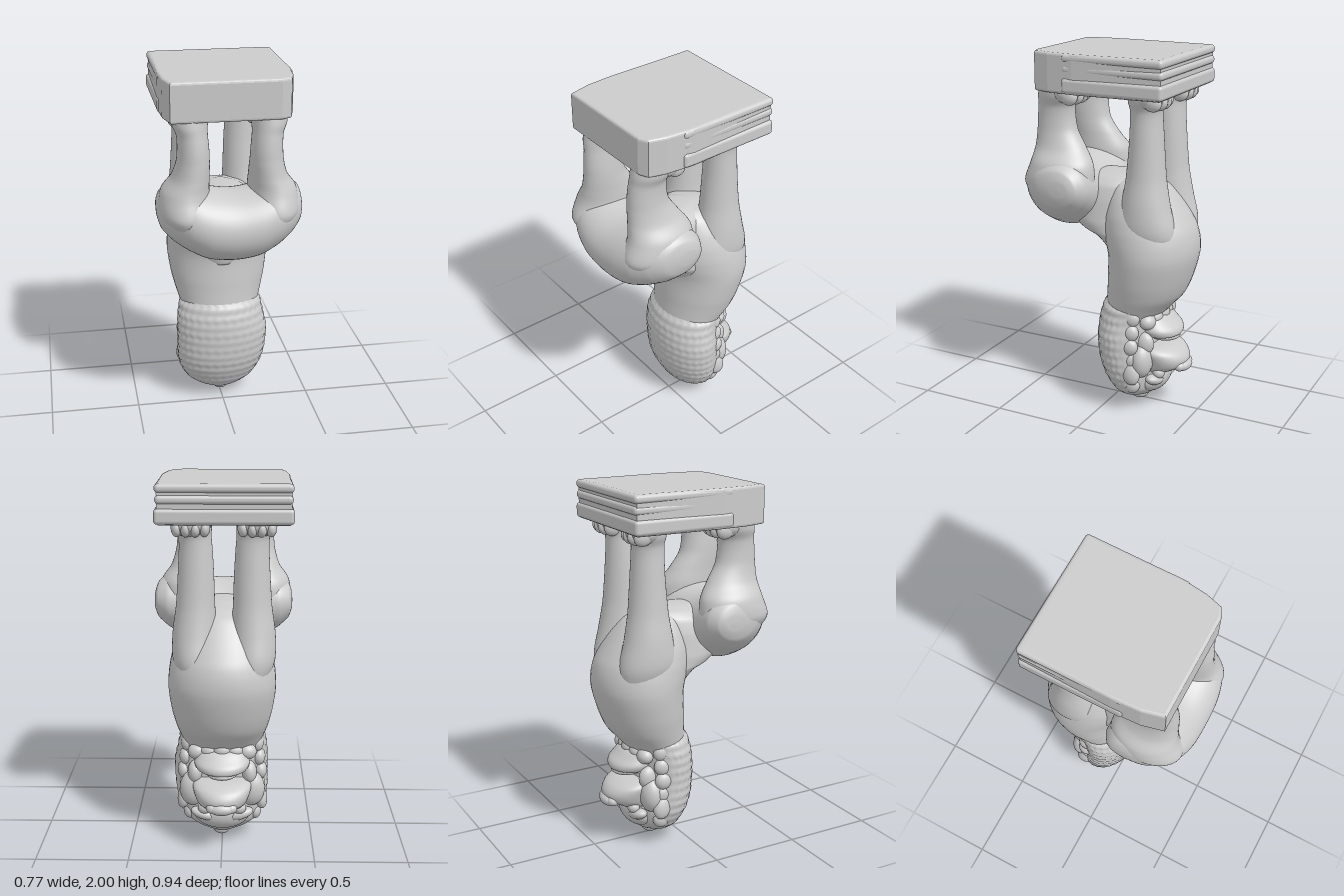
import * as THREE from 'three';
import { RoundedBoxGeometry } from 'three/addons/geometries/RoundedBoxGeometry.js';

const mat = new THREE.MeshStandardMaterial({ color: 0xcccccc });

function add(parent, name, geo, pos = [0, 0, 0], scale = [1, 1, 1], rot = [0, 0, 0]) {
  const m = new THREE.Mesh(geo, mat);
  m.name = name;
  m.position.set(...pos);
  m.scale.set(...scale);
  m.rotation.set(...rot);
  parent.add(m);
}

// Smooth closed body through elliptical sections [t, centreA, radiusA, minB, maxB].
// axis 'y': A = x, B = z.  axis 'x': A = y, B = z.  bump(a, t) scales the radii.
function loft(sections, axis = 'y', bump = () => 1, rings = 50, seg = 40) {
  const centre = new THREE.CatmullRomCurve3(
    sections.map(([t, c, , b0, b1]) => new THREE.Vector3(t, c, (b0 + b1) / 2)));
  const radius = new THREE.CatmullRomCurve3(
    sections.map(([, , r, b0, b1]) => new THREE.Vector3(r, (b1 - b0) / 2, 0)));
  const pos = [], idx = [];
  const put = (t, a, b) => (axis === 'y' ? pos.push(a, t, b) : pos.push(t, a, b));
  const face = (a, b, c) => (axis === 'y' ? idx.push(a, b, c) : idx.push(a, c, b));
  for (let i = 0; i <= rings; i++) {
    const c = centre.getPoint(i / rings), r = radius.getPoint(i / rings);
    for (let j = 0; j < seg; j++) {
      const a = (j / seg) * Math.PI * 2, k = bump(a, c.x);
      put(c.x, c.y + r.x * k * Math.cos(a), c.z + r.y * k * Math.sin(a));
    }
  }
  for (let i = 0; i < rings; i++) for (let j = 0; j < seg; j++) {
    const a = i * seg + j, b = i * seg + (j + 1) % seg;
    face(a, a + seg, b);
    face(b, a + seg, b + seg);
  }
  // end caps
  const first = centre.getPoint(0), last = centre.getPoint(1), n = pos.length / 3;
  put(first.x, first.y, first.z);
  put(last.x, last.y, last.z);
  for (let j = 0; j < seg; j++) {
    const k = (j + 1) % seg;
    face(n, j, k);
    face(n + 1, rings * seg + k, rings * seg + j);
  }
  const g = new THREE.BufferGeometry();
  g.setAttribute('position', new THREE.Float32BufferAttribute(pos, 3));
  g.setIndex(idx);
  g.computeVertexNormals();
  return g;
}

function makePlinth() {
  const g = new THREE.Group();
  g.name = 'plinth';
  const bevel = 0.014;
  const outline = [[-0.34, -0.38], [0.313, -0.38], [0.323, 0.1], [0.305, 0.25], [0.28, 0.335],
    [0.235, 0.356], [-0.315, 0.356], [-0.34, 0.25], [-0.348, 0.1]];
  const slab = new THREE.ExtrudeGeometry(new THREE.Shape(outline.map(p => new THREE.Vector2(...p))),
    { depth: 0.21 - 2 * bevel, bevelThickness: bevel, bevelSize: bevel, bevelSegments: 3 });
  slab.rotateX(Math.PI / 2);
  add(g, 'plinthSlab', slab, [0, 2 - bevel, 0]);
  // stacked mouldings around the rear part
  for (const [y, h, w] of [[1.835, 0.08, 0.71], [1.92, 0.045, 0.695], [1.977, 0.045, 0.7]])
    add(g, 'plinthMoulding', new RoundedBoxGeometry(w, h, 0.57, 4, 0.02), [-0.012, y, -0.122]);
  return g;
}

function makeLegs(s) {
  const g = new THREE.Group();
  g.name = s > 0 ? 'leftLegs' : 'rightLegs';
  g.position.x = -0.01;
  const ball = new THREE.SphereGeometry(1, 20, 14);
  add(g, 'hindLeg', loft([
    [1.2, s * 0.23, 0.08, 0.1, 0.4], [1.3, s * 0.235, 0.135, 0.04, 0.445],
    [1.4, s * 0.23, 0.128, 0.05, 0.41], [1.48, s * 0.205, 0.1, 0.1, 0.395],
    [1.58, s * 0.192, 0.085, 0.16, 0.388], [1.7, s * 0.195, 0.08, 0.17, 0.378],
    [1.76, s * 0.205, 0.092, 0.14, 0.372], [1.82, s * 0.205, 0.1, 0.12, 0.36]]));
  // foreleg tapers away inside the shoulder
  add(g, 'frontLeg', loft([
    [0.84, s * 0.14, 0.03, -0.29, -0.23], [0.95, s * 0.145, 0.09, -0.385, -0.13],
    [1.07, s * 0.155, 0.12, -0.4, -0.08], [1.2, s * 0.155, 0.118, -0.37, -0.1],
    [1.35, s * 0.15, 0.103, -0.343, -0.125], [1.55, s * 0.147, 0.093, -0.327, -0.142],
    [1.7, s * 0.15, 0.086, -0.32, -0.147], [1.76, s * 0.16, 0.097, -0.335, -0.14],
    [1.82, s * 0.165, 0.1, -0.345, -0.14]]));
  // paws with toes pointing to the back of the plinth
  for (const [name, x, z] of [['hind', 0.205, 0.14], ['front', 0.17, -0.325]]) {
    add(g, name + 'Paw', ball, [s * x, 1.785, z + 0.05], [0.105, 0.07, 0.09]);
    for (let i = -1.5; i <= 1.5; i++)
      add(g, name + 'Toe', ball, [s * x + i * 0.048, 1.768, z + 0.012 * Math.abs(i)],
        [0.029, 0.046, 0.052], [-0.3, 0, 0]);
  }
  return g;
}

function makeHead() {
  const g = new THREE.Group();
  g.name = 'head';
  const ball = new THREE.SphereGeometry(1, 24, 16);
  // mane with rows of small curls, smooth on the face side
  const curls = (a, y) => 1 + 0.008 * Math.max(0, Math.min(1, Math.sin(a) * 2 + 1)) *
    (Math.sin(y * 130) + 0.8 * Math.sin(a * 30 + Math.sin(y * 65)));
  add(g, 'mane', loft([
    [0.035, 0, 0.02, -0.16, -0.11], [0.05, 0, 0.08, -0.21, -0.06], [0.075, 0, 0.145, -0.235, -0.03],
    [0.12, 0, 0.2, -0.27, 0.005], [0.2, 0, 0.24, -0.28, 0.045], [0.29, 0.004, 0.256, -0.27, 0.07],
    [0.42, 0.008, 0.26, -0.26, 0.08], [0.53, 0, 0.248, -0.27, 0.073], [0.6, 0, 0.234, -0.29, 0.055],
    [0.64, 0, 0.2, -0.27, 0.03]], 'y', curls, 110, 150));
  add(g, 'topKnot', ball, [0.005, 0.042, -0.14], [0.05, 0.04, 0.055]);
  // open jaws, upside down: chin above, nose below
  add(g, 'upperJaw', loft([
    [0.19, 0, 0.07, -0.3, -0.16], [0.23, 0, 0.115, -0.37, -0.15], [0.265, 0, 0.135, -0.425, -0.15],
    [0.305, 0, 0.15, -0.432, -0.15], [0.345, 0, 0.16, -0.405, -0.15], [0.375, 0, 0.145, -0.345, -0.15],
    [0.385, 0, 0.09, -0.27, -0.15]]));
  add(g, 'nose', ball, [0, 0.262, -0.41], [0.07, 0.034, 0.042]);
  add(g, 'tongue', ball, [0, 0.425, -0.29], [0.085, 0.03, 0.09]);
  add(g, 'lowerJaw', loft([
    [0.425, 0, 0.09, -0.36, -0.15], [0.445, 0, 0.135, -0.39, -0.15], [0.475, 0, 0.15, -0.385, -0.15],
    [0.51, 0, 0.145, -0.35, -0.15], [0.545, 0, 0.13, -0.31, -0.15], [0.56, 0, 0.08, -0.26, -0.15]]));
  add(g, 'forehead', ball, [0, 0.165, -0.235], [0.15, 0.09, 0.08], [-0.5, 0, 0]);
  for (let i = -2; i <= 2; i++)
    add(g, 'beardCurl', ball, [i * 0.068, 0.55 - 0.008 * Math.abs(i), -0.27 + 0.012 * Math.abs(i)],
      [0.052, 0.045, 0.045]);
  for (const s of [-1, 1]) {
    add(g, 'nostril', ball, [s * 0.05, 0.265, -0.405], [0.034, 0.028, 0.032]);
    add(g, 'mouthCorner', ball, [s * 0.15, 0.41, -0.235], [0.04, 0.065, 0.055]);
    add(g, 'eye', ball, [s * 0.095, 0.225, -0.3], [0.038, 0.034, 0.034]);
    add(g, 'brow', ball, [s * 0.1, 0.18, -0.275], [0.075, 0.032, 0.045], [0, 0, s * 0.3]);
    add(g, 'cheek', ball, [s * 0.16, 0.31, -0.225], [0.075, 0.1, 0.06]);
    add(g, 'ear', ball, [s * 0.21, 0.25, -0.18], [0.038, 0.075, 0.055], [0.3, 0, s * 0.2]);
    // larger curls framing the face
    for (let i = 0; i < 6; i++)
      add(g, 'sideCurl', ball, [s * (0.212 - 0.01 * Math.abs(i - 3)), 0.16 + i * 0.08, -0.172],
        [0.036, 0.05, 0.05]);
  }
  return g;
}

export function createModel() {
  const model = new THREE.Group();
  model.name = 'invertedGuardianStatue';
  model.add(makePlinth(), makeLegs(1), makeLegs(-1), makeHead());

  // chest and back
  add(model, 'torso', loft([
    [0.52, 0, 0.2, -0.26, 0.03], [0.6, 0, 0.228, -0.33, 0.04], [0.67, 0, 0.25, -0.39, 0.035],
    [0.76, 0, 0.272, -0.43, 0.03], [0.9, 0, 0.29, -0.467, 0.025], [0.98, 0, 0.287, -0.467, 0.045],
    [1.05, 0, 0.277, -0.45, 0.06], [1.13, 0, 0.255, -0.405, 0.06], [1.21, 0, 0.22, -0.35, 0.04],
    [1.28, 0, 0.17, -0.29, 0.02], [1.32, 0, 0.11, -0.22, -0.02], [1.335, 0, 0.02, -0.14, -0.1]]));
  // narrower waist joining chest and rump
  add(model, 'waist', loft([
    [0.87, 0, 0.1, -0.15, 0.025], [0.94, 0, 0.17, -0.16, 0.05], [1.0, 0, 0.2, -0.18, 0.11],
    [1.035, 0, 0.208, -0.18, 0.2], [1.1, 0, 0.208, -0.2, 0.28], [1.2, 0, 0.195, -0.2, 0.28],
    [1.28, 0, 0.17, -0.19, 0.24], [1.32, 0, 0.125, -0.17, 0.18], [1.338, 0, 0.07, -0.13, 0.12],
    [1.343, 0, 0.01, -0.03, 0.02]]));

  // rump and both haunches in one sweep from side to side
  const half = [[0.387, 1.29, 0.008, 0.155, 0.175], [0.384, 1.29, 0.045, 0.11, 0.23],
    [0.367, 1.288, 0.098, 0.07, 0.31], [0.31, 1.28, 0.15, 0.035, 0.39],
    [0.23, 1.26, 0.182, 0.03, 0.445], [0.13, 1.225, 0.192, 0.03, 0.468]];
  const mirrored = half.map(([x, ...rest]) => [-x, ...rest]);
  add(model, 'rumpAndHaunches',
    loft([...mirrored, [0, 1.208, 0.19, 0.03, 0.472], ...half.slice().reverse()], 'x', undefined, 84, 48));
  return model;
}
